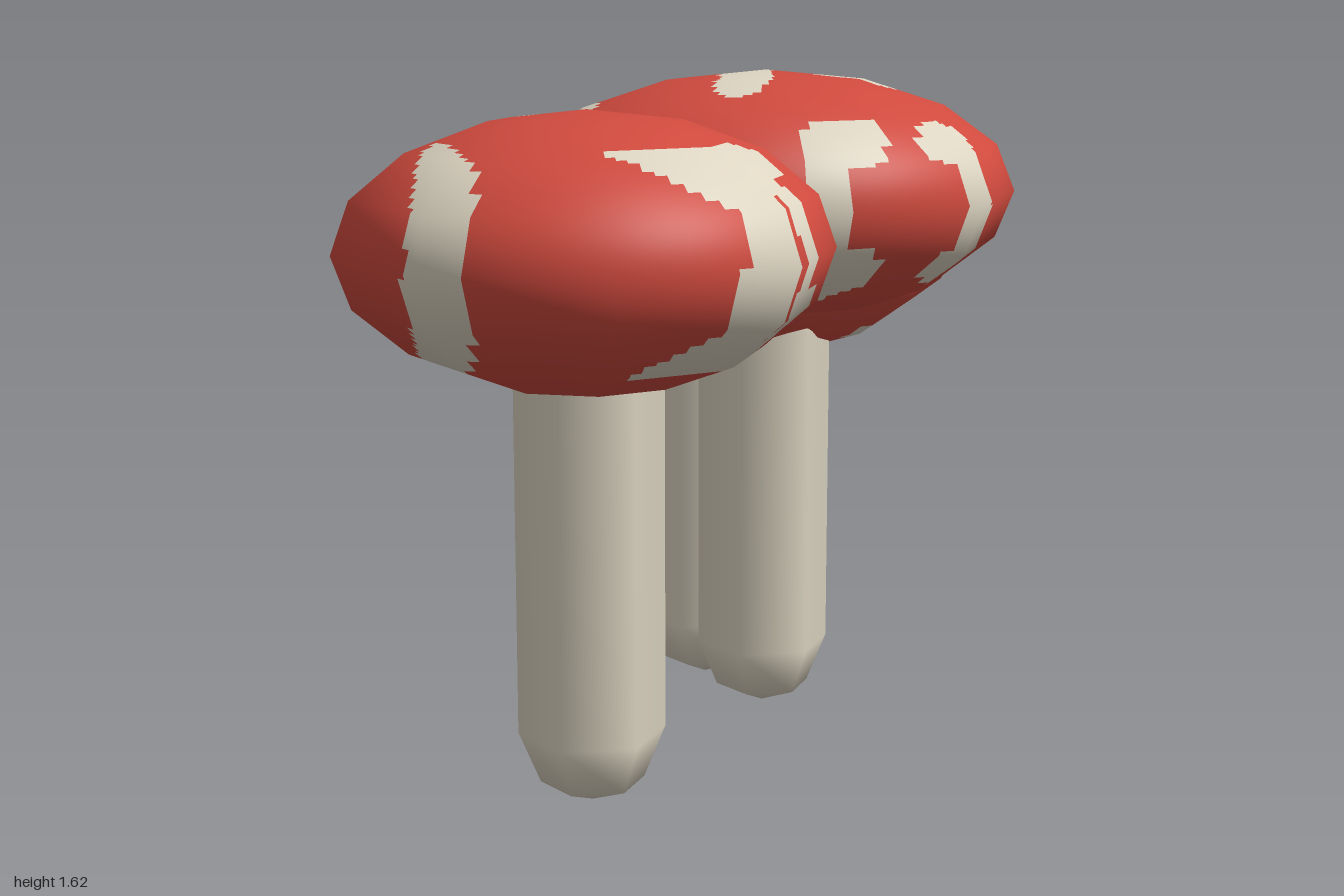
import * as THREE from 'three';

const red = new THREE.MeshStandardMaterial({ color: 0xd04a3e });
red.name = 'cap red';
const cream = new THREE.MeshStandardMaterial({ color: 0xddd5c2 });
cream.name = 'cream';

// Directions the spots are projected from, with right, up and facing axes
function direction(azimuth, elevation) {
  const a = THREE.MathUtils.degToRad(azimuth), e = THREE.MathUtils.degToRad(elevation);
  const right = new THREE.Vector3(Math.cos(a), 0, -Math.sin(a));
  const facing = new THREE.Vector3(Math.sin(a) * Math.cos(e), Math.sin(e), Math.cos(a) * Math.cos(e));
  return { right, facing, up: facing.clone().cross(right) };
}
const FRONT = direction(0, 0), RIGHT = direction(90, 0), TOP = direction(0, 90);
const BACK = direction(215, 25.5), UNDER = direction(140, -30);

// A spot is a brush stroke of a given half width along a path, projected onto the cap
function spot(view, halfWidth, ...path) {
  const points = path.map(([u, v]) => new THREE.Vector2(u, v));
  return (p, n) => {
    if (n.dot(view.facing) <= 0) return false;
    const q = new THREE.Vector2(p.dot(view.right), p.dot(view.up));
    return points.slice(1).some((end, i) => {
      const along = end.clone().sub(points[i]);
      const t = THREE.MathUtils.clamp(q.clone().sub(points[i]).dot(along) / along.lengthSq(), 0, 1);
      return q.distanceTo(points[i].clone().addScaledVector(along, t)) < halfWidth;
    });
  };
}

// Eight-sided ellipsoid whose facets are cut into small cells, sorted into red skin and cream spots
function buildCap(centre, radii, spots) {
  const SIDES = 8, CUTS = 12;
  const corner = (i, j) => {
    const unit = new THREE.Vector3().setFromSphericalCoords(1, i / SIDES * Math.PI, j / SIDES * Math.PI * 2);
    return { p: unit.clone().multiply(radii).add(centre), n: unit.clone().divide(radii).normalize() };
  };
  const mix = (q, key, s, t) => q[0][key].clone().lerp(q[1][key], s)
    .lerp(q[2][key].clone().lerp(q[3][key], s), t);
  const skin = { position: [], normal: [] }, marks = { position: [], normal: [] };

  for (let i = 0; i < SIDES; i++) for (let j = 0; j < SIDES; j++) {
    const quad = [corner(i, j), corner(i, j + 1), corner(i + 1, j), corner(i + 1, j + 1)];
    for (let a = 0; a < CUTS; a++) for (let b = 0; b < CUTS; b++) {
      const mid = [(b + 0.5) / CUTS, (a + 0.5) / CUTS];
      const p = mix(quad, 'p', ...mid), n = mix(quad, 'n', ...mid);
      const out = spots.some((covers) => covers(p, n)) ? marks : skin;
      for (const [x, y] of [[0, 0], [0, 1], [1, 1], [0, 0], [1, 1], [1, 0]]) {
        const s = (b + x) / CUTS, t = (a + y) / CUTS;
        out.position.push(...mix(quad, 'p', s, t).toArray());
        out.normal.push(...mix(quad, 'n', s, t).normalize().toArray());
      }
    }
  }
  const toMesh = (data, material, name) => {
    const g = new THREE.BufferGeometry();
    for (const key of ['position', 'normal']) g.setAttribute(key, new THREE.Float32BufferAttribute(data[key], 3));
    const mesh = new THREE.Mesh(g, material);
    mesh.name = name;
    return mesh;
  };
  const cap = new THREE.Group();
  cap.name = 'cap';
  cap.add(toMesh(skin, red, 'capSkin'), toMesh(marks, cream, 'capSpots'));
  return cap;
}

// Six-sided stem with a rounded foot, carrying a cap
function buildMushroom(name, x, y, z, radii, ...spots) {
  const R = 0.167, HEIGHT = 1.15;
  const stem = new THREE.Mesh(new THREE.CapsuleGeometry(R, HEIGHT - 2 * R, 2, 6), cream);
  stem.name = 'stem';
  stem.position.set(x, HEIGHT / 2, z);
  const group = new THREE.Group();
  group.name = name;
  group.add(stem, buildCap(new THREE.Vector3(x, y, z), radii, spots));
  return group;
}

export function createModel() {
  const model = new THREE.Group();
  model.name = 'mushroomCluster';
  model.add(
    buildMushroom('frontMushroom', -0.3, 1.25, 0.472, new THREE.Vector3(0.55, 0.305, 0.525),
      spot(FRONT, 0.057, [-0.61, 1.43], [-0.65, 1.24], [-0.62, 1.07]),
      spot(RIGHT, 0.035, [-0.57, 1.45], [-0.79, 1.45], [-0.855, 1.24], [-0.8, 1.06], [-0.59, 1.06]),
      spot(RIGHT, 0.055, [-0.7, 1.43], [-0.7, 1.1], [-0.6, 1.13]),
      spot(TOP, 0.055, [-0.67, -0.28], [-0.61, -0.37]),
      spot(TOP, 0.05, [-0.39, -0.34], [-0.32, -0.31]),
      spot(BACK, 0.055, [0.58, 1.02], [0.58, 0.99])),
    buildMushroom('tallMushroom', 0.207, 1.31, -0.15, new THREE.Vector3(0.64, 0.305, 0.515),
      spot(FRONT, 0.052, [0.37, 1.46], [0.26, 1.46], [0.26, 1.14], [0.35, 1.17]),
      spot(FRONT, 0.043, [0.55, 1.46], [0.62, 1.44], [0.67, 1.29], [0.63, 1.18], [0.56, 1.15]),
      spot(TOP, 0.077, [-0.32, 0.17], [-0.29, 0.15]),
      spot(TOP, 0.06, [0.38, 0.43], [0.49, 0.46]),
      spot(TOP, 0.075, [0.38, 0.19], [0.47, 0.19]),
      spot(TOP, 0.062, [0.16, 0.19], [0.14, 0.04], [0.11, -0.03])),
    buildMushroom('backMushroom', 0.1, 1.17, -0.405, new THREE.Vector3(0.685, 0.297, 0.592),
      spot(TOP, 0.05, [0.15, 0.97], [0.15, 0.92]),
      spot(TOP, 0.06, [-0.29, 0.82], [-0.41, 0.72], [-0.48, 0.56]),
      spot(TOP, 0.075, [-0.19, 0.67], [-0.14, 0.61]),
      spot(TOP, 0.068, [0.28, 0.74], [0.16, 0.69], [0.1, 0.63]),
      spot(BACK, 0.055, [-0.68, 0.97], [-0.65, 0.92], [-0.68, 0.82], [-0.685, 0.7]),
      spot(BACK, 0.062, [-0.21, 0.79], [0.07, 0.81], [0, 0.67], [-0.2, 0.63], [-0.21, 0.79]),
      spot(UNDER, 0.075, [0.29, 1.22], [0.34, 1.16], [0.26, 1.09]),
      spot(UNDER, 0.05, [-0.1, 1.14], [0.04, 1.12]),
      spot(UNDER, 0.04, [0.46, 0.98], [0.6, 1.01]),
      spot(FRONT, 0.04, [0.14, 0.95], [0.16, 0.97]),
      spot(FRONT, 0.035, [0.42, 0.92], [0.48, 0.96])));
  return model;
}
